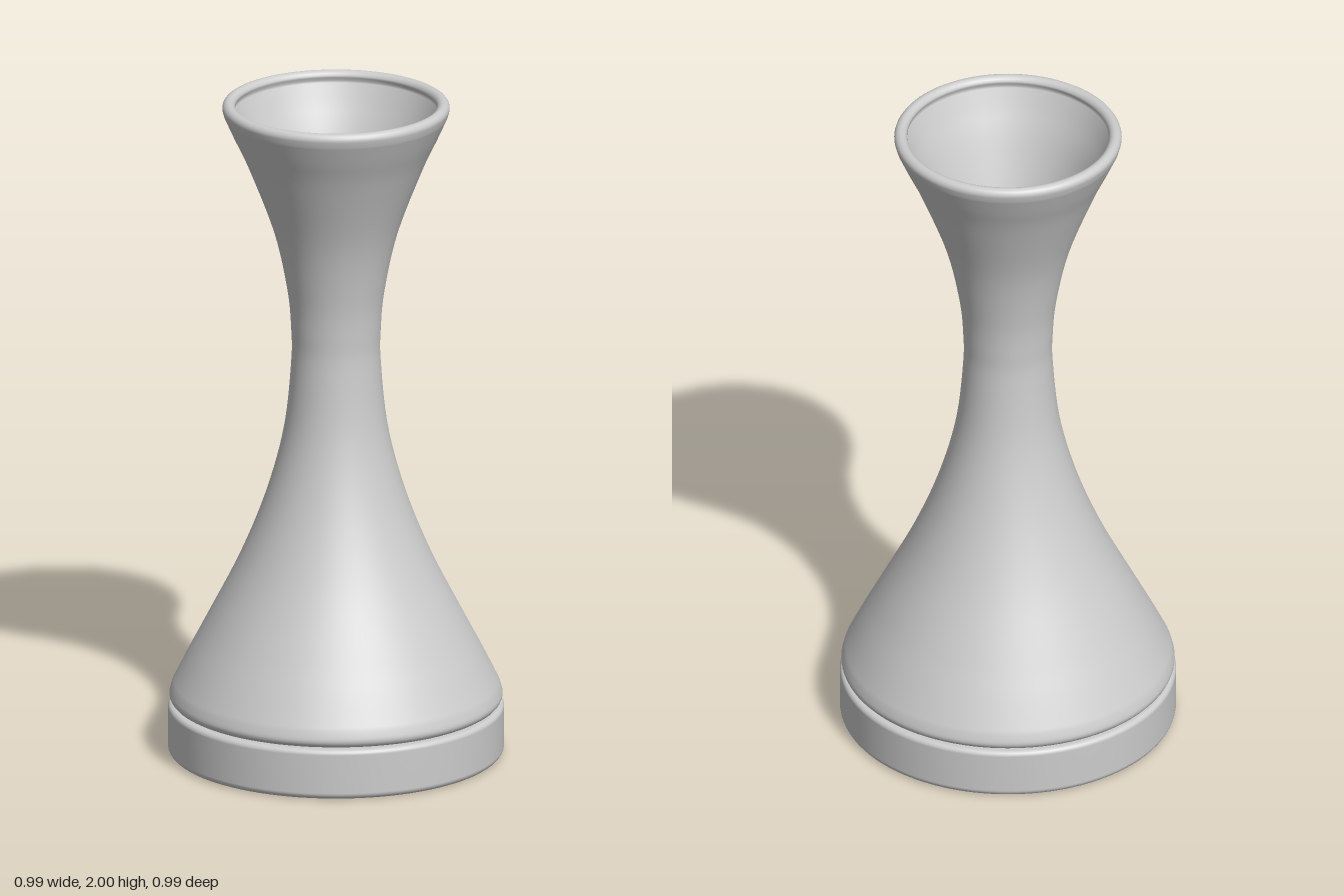
import * as THREE from 'three';

const SEGMENTS = 96;
const WALL = 0.028;
const v = (x, y) => new THREE.Vector2(x, y);

// Points along a rounded corner, angles in degrees
function arc(cx, cy, r, from, to, steps = 6) {
  return Array.from({ length: steps + 1 }, (_, i) => {
    const a = THREE.MathUtils.degToRad(from + ((to - from) * i) / steps);
    return v(cx + r * Math.cos(a), cy + r * Math.sin(a));
  });
}

function lathe(name, points, material) {
  const mesh = new THREE.Mesh(new THREE.LatheGeometry(points, SEGMENTS), material);
  mesh.name = name;
  return mesh;
}

export function createModel() {
  const group = new THREE.Group();
  group.name = 'flaredStand';
  const grey = new THREE.MeshStandardMaterial({ color: 0xcccccc });
  grey.name = 'light grey';

  // Solid base disc with softened edges
  group.add(lathe('baseDisc', [
    v(0, 0), v(0.465, 0), v(0.473, 0),
    ...arc(0.475, 0.02, 0.02, -90, 0),
    ...arc(0.48, 0.137, 0.015, 0, 90),
    v(0.47, 0.152), v(0, 0.152),
  ], grey));

  // Outer waisted curve, from the foot up to the lip
  const curve = new THREE.SplineCurve([
    v(0.484, 0.205), v(0.437, 0.3), v(0.385, 0.4), v(0.284, 0.6), v(0.205, 0.8),
    v(0.153, 1.0), v(0.132, 1.2), v(0.132, 1.3), v(0.143, 1.42), v(0.182, 1.6),
    v(0.257, 1.8), v(0.303, 1.9), v(0.33, 1.96),
  ]);
  const outer = [];
  const inner = [];
  for (let i = 0; i <= 64; i++) {
    const p = curve.getPoint(i / 64);
    const t = curve.getTangent(i / 64);
    outer.push(p);
    inner.unshift(v(p.x - t.y * WALL, p.y + t.x * WALL));
  }

  // Hollow body: rounded foot, outer wall, rounded lip, inner wall
  group.add(lathe('hollowBody', [
    v(0.44, 0.156), v(0.465, 0.156),
    ...arc(0.469, 0.178, 0.022, -90, 25),
    ...outer,
    ...arc(0.316, 1.981, 0.019, -15, 180, 10),
    ...inner,
    v(0.45, 0.156), v(0.44, 0.156),
  ], grey));

  return group;
}
